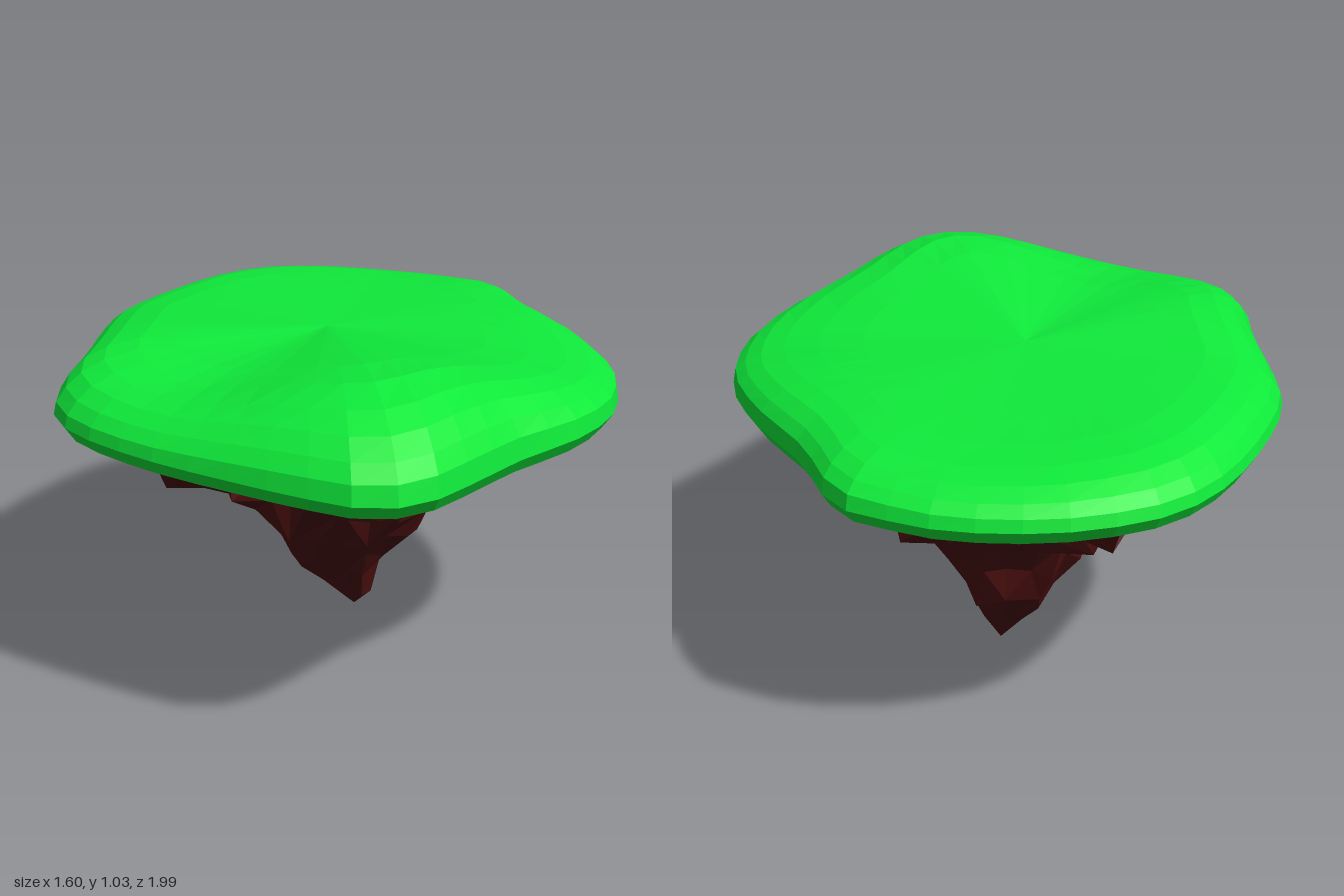
import * as THREE from 'three';

// Rim of the island seen from above, as x, z
const rimCurve = new THREE.CatmullRomCurve3([
  [-0.08, -1], [0.13, -0.98], [0.28, -0.92], [0.4, -0.85], [0.52, -0.6], [0.68, -0.35],
  [0.78, -0.12], [0.8, 0.05], [0.78, 0.22], [0.7, 0.4], [0.55, 0.6], [0.45, 0.77],
  [0.34, 0.93], [0.22, 0.995], [0.08, 0.97], [-0.15, 0.89], [-0.45, 0.76], [-0.68, 0.6],
  [-0.76, 0.46], [-0.77, 0.2], [-0.8, -0.1], [-0.8, -0.25], [-0.7, -0.55], [-0.58, -0.77],
  [-0.45, -0.9], [-0.25, -0.98],
].map(([x, z]) => new THREE.Vector3(x, 0, z)), true);
const rimPoints = n => rimCurve.getSpacedPoints(n).slice(0, -1);

// Joins closed rings, listed from bottom to top, into one surface
function loft(rings) {
  const n = rings[0].length, pos = [], index = [];
  rings.forEach(r => r.forEach(p => pos.push(p.x, p.y, p.z)));
  for (let i = 0; i < rings.length - 1; i++) {
    for (let j = 0; j < n; j++) {
      const k = (j + 1) % n, a = i * n + j, b = i * n + k;
      index.push(a, a + n, b, b, a + n, b + n);
    }
  }
  const g = new THREE.BufferGeometry();
  g.setAttribute('position', new THREE.Float32BufferAttribute(pos, 3));
  g.setIndex(index);
  g.computeVertexNormals();
  return g;
}

function seeded(seed) {
  return () => {
    seed = (seed * 16807) % 2147483647;
    return seed / 2147483647;
  };
}

const bump = (x, z, cx, cz, s) => Math.exp(-((x - cx) ** 2 + (z - cz) ** 2) / (2 * s * s));

// Rolling height of the turf
function turfHeight(x, z) {
  return 0.95
    + 0.085 * bump(x, z, 0.18, 0.6, 0.27)
    + 0.04 * bump(x, z, -0.58, 0.2, 0.25)
    - 0.025 * bump(x, z, -0.33, 0.55, 0.18)
    - 0.035 * bump(x, z, 0.75, 0, 0.25)
    - 0.03 * bump(x, z, 0.1, -0.95, 0.3);
}

function makeTurf() {
  const rim = rimPoints(48), centre = new THREE.Vector3(-0.07, 0, -0.06);
  const ring = (f, height) => rim.map(p => {
    const q = centre.clone().lerp(p, f);
    q.y = height(q, p);
    return q;
  });
  // Underside and lip: [fraction of radius, height]
  const under = [[0, 0.748], [0.75, 0.748], [0.88, 0.753], [0.965, 0.775], [1, 0.82]];
  // Rounded shoulder: [fraction of radius, share of height]
  const shoulder = [[0.99, 0.3], [0.955, 0.56], [0.9, 0.79], [0.82, 0.93], [0.7, 1], [0.55, 1]];
  // Creases fan out from the middle to the shoulder
  const fan = f => (q, p) => {
    const edge = centre.clone().lerp(p, 0.55);
    return THREE.MathUtils.lerp(0.953, turfHeight(edge.x, edge.z), f / 0.55);
  };
  return loft([
    ...under.map(([f, y]) => ring(f, q => y - 0.015 * q.x)),
    ...shoulder.map(([f, s]) => ring(f, q => 0.825 + (turfHeight(q.x, q.z) - 0.825) * s)),
    ring(0.28, fan(0.28)),
    ring(0, fan(0)),
  ]);
}

function makeRock() {
  const rand = seeded(41), n = 48, rim = rimPoints(n), cz = -0.14;
  // y, reach to -x, +x, +z and -z, then rim points per facet
  const levels = [
    [0, 0, 0, cz, cz, 4],
    [0.1, -0.1, 0.07, -0.02, -0.21, 4],
    [0.18, -0.18, 0.1, 0.06, -0.3, 4],
    [0.26, -0.2, 0.14, 0.14, -0.38, 4],
    [0.36, -0.25, 0.21, 0.27, -0.41, 2],
    [0.47, -0.29, 0.3, 0.33, -0.48, 2],
    [0.5, -0.42, 0.38, 0.5, -0.53, 2],
    [0.6, -0.48, 0.47, 0.62, -0.62, 1],
    [0.64, -0.57, 0.53, 0.67, -0.77, 1],
    [0.71, -0.62, 0.6, 0.73, -0.84, 1],
    [0.77, -0.65, 0.67, 0.79, -0.89, 1],
  ];
  return loft(levels.map(([y, left, right, front, back, step], i) => {
    const inner = i > 0 && i < levels.length - 1;
    const corners = Array.from({ length: n / step }, (_, k) => {
      const p = rim[k * step], r = 1.05 - 0.19 * rand(), dz = p.z - cz;
      return new THREE.Vector3(
        p.x * r * (p.x > 0 ? right : -left) / 0.8,
        y + (inner ? (rand() - 0.5) * 0.07 : 0),
        cz + dz * r * (dz > 0 ? (front - cz) / (1 - cz) : (cz - back) / (1 + cz)));
    });
    return rim.map((_, j) => corners[Math.floor(j / step)]);
  }));
}

export function createModel() {
  const model = new THREE.Group();
  model.name = 'floatingIsland';
  const add = (name, geometry, color) => {
    const mesh = new THREE.Mesh(geometry, new THREE.MeshStandardMaterial({ color, flatShading: true }));
    mesh.name = name;
    model.add(mesh);
  };
  add('grassTop', makeTurf(), 0x0fea3a);
  add('rockBase', makeRock(), 0x4a0f0f);
  return model;
}
